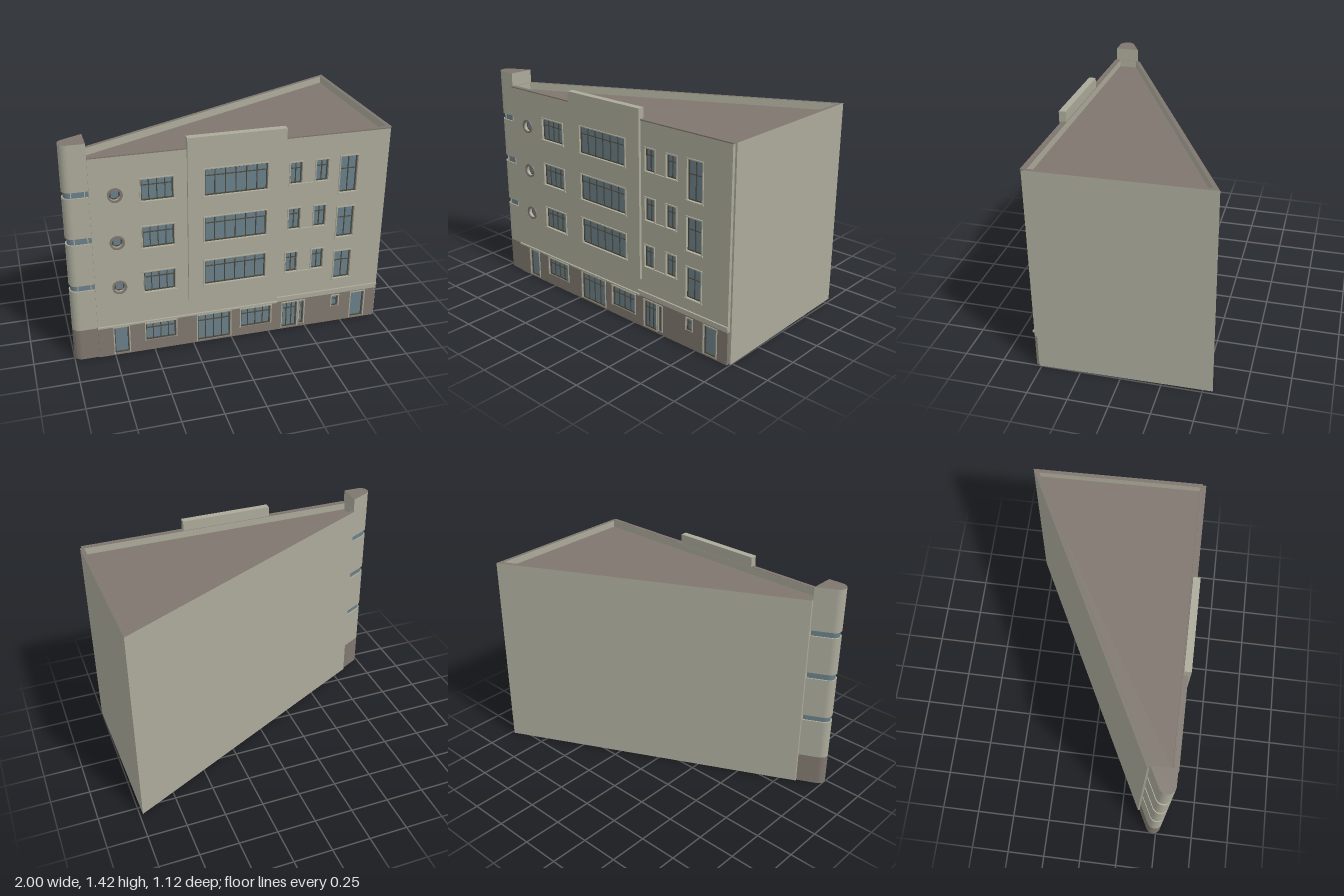
import * as THREE from 'three';
import { mergeGeometries } from 'three/addons/utils/BufferGeometryUtils.js';

const mat = (name, color, side = THREE.FrontSide) => {
  const m = new THREE.MeshStandardMaterial({ color, side });
  m.name = name;
  return m;
};

export function createModel() {
  const root = new THREE.Group();
  root.name = 'cornerBuilding';
  const render = mat('beigeRender', 0xabaa9a);
  const stone = mat('brownStone', 0x7f776e);
  const glass = mat('blueGlass', 0x6a7f88);
  const dark = mat('darkFrame', 0x4b4b41);

  const add = (name, geo, m, parent = root) => {
    const mesh = new THREE.Mesh(geo, m);
    mesh.name = name;
    parent.add(mesh);
    return mesh;
  };
  // box given by its limits
  const box = (x0, x1, y0, y1, z0, z1) =>
    new THREE.BoxGeometry(x1 - x0, y1 - y0, z1 - z0)
      .translate((x0 + x1) / 2, (y0 + y1) / 2, (z0 + z1) / 2);
  // plan outline [x, z] raised from y0 to y1
  const toShape = pts => new THREE.Shape(pts.map(([x, z]) => new THREE.Vector2(x, -z)));
  const raise = (shape, y0, y1) =>
    new THREE.ExtrudeGeometry(shape, { depth: y1 - y0, bevelEnabled: false })
      .rotateX(-Math.PI / 2).translate(0, y0, 0);
  const rectPath = (P, x0, x1, y0, y1) => {
    const p = new P();
    p.moveTo(x0, y0); p.lineTo(x1, y0); p.lineTo(x1, y1); p.lineTo(x0, y1);
    p.closePath();
    return p;
  };
  // upright wall slab with window openings
  const wall = (name, x0, x1, y0, y1, z0, z1, wins, m) => {
    const s = rectPath(THREE.Shape, x0, x1, y0, y1);
    for (const w of wins) {
      if (w.r) s.holes.push(new THREE.Path().absarc(w.x, w.y, w.r, 0, Math.PI * 2, true));
      else s.holes.push(rectPath(THREE.Path, ...w.rect));
    }
    const g = new THREE.ExtrudeGeometry(s, { depth: z1 - z0, bevelEnabled: false, curveSegments: 24 });
    add(name, g.translate(0, 0, z0), m);
  };

  // glass, bars, surround and sill of one rectangular window; back and face are z
  const addWindow = ({ rect, cols, transom, sill }, back, face) => {
    const [x0, x1, y0, y1] = rect;
    const g = new THREE.Group();
    g.name = 'window';
    root.add(g);
    add('pane', box(x0, x1, y0, y1, back, back + 0.004), glass, g);
    const b = 0.0035, f = back + 0.011;
    const bars = [
      box(x0, x0 + 2 * b, y0, y1, back, f), box(x1 - 2 * b, x1, y0, y1, back, f),
      box(x0, x1, y0, y0 + 2 * b, back, f), box(x0, x1, y1 - 2 * b, y1, back, f)
    ];
    for (let i = 1; i < cols; i++) {
      const x = x0 + (x1 - x0) * i / cols;
      bars.push(box(x - b * 0.7, x + b * 0.7, y0, y1, back, f));
    }
    if (transom) {
      const y = y1 - (y1 - y0) * transom;
      bars.push(box(x0, x1, y - b * 0.7, y + b * 0.7, back, f));
    }
    add('frameBars', mergeGeometries(bars), dark, g);
    const t = 0.007, o = face + 0.007;
    add('surround', mergeGeometries([
      box(x0 - t, x0, y0, y1 + t, face, o), box(x1, x1 + t, y0, y1 + t, face, o),
      box(x0, x1, y1, y1 + t, face, o)
    ]), render, g);
    if (sill) add('sill', box(x0 - 0.012, x1 + 0.012, y0 - 0.008, y0, face, face + 0.01), render, g);
  };

  // window schedule for the three upper floors
  const upper = [], bay = [], portholes = [];
  const rows = [
    { side: [1.035, 1.174], mid: [1.03, 1.2], stair: [0.94, 1.18], round: 1.093 },
    { side: [0.728, 0.869], mid: [0.725, 0.89], stair: [0.63, 0.837], round: 0.787 },
    { side: [0.425, 0.564], mid: [0.43, 0.596], stair: [0.33, 0.527], round: 0.485 }
  ];
  rows.forEach((r, i) => {
    const dx = i === 2 ? -0.007 : 0;
    upper.push({ rect: [-0.553, -0.361, ...r.side], cols: 4, transom: 0.3, sill: true });
    upper.push({ rect: [0.355 + dx, 0.43 + dx, ...r.side], cols: 2, transom: 0.3 });
    upper.push({ rect: [0.52, 0.597, ...r.side], cols: 2, transom: 0.3 });
    upper.push({ rect: [0.677, 0.788, ...r.stair], cols: 2, transom: 0.36, sill: true });
    bay.push({ rect: [-0.18, 0.207, ...r.mid], cols: 6, transom: 0.26, sill: true });
    portholes.push({ x: -0.703, y: r.round, r: 0.034 });
    add('pairedSill', box(0.343, 0.607, r.side[0] - 0.008, r.side[0], 0.535, 0.545), render);
  });
  // ground floor doors and shop windows
  const ground = [
    { rect: [-0.75, -0.66, 0.01, 0.198], cols: 1, transom: 0 },
    { rect: [-0.553, -0.361, 0.072, 0.195], cols: 4, transom: 0.3 },
    { rect: [-0.222, -0.008, 0.01, 0.198], cols: 4, transom: 0.25 },
    { rect: [0.061, 0.26, 0.06, 0.195], cols: 4, transom: 0.3 },
    { rect: [0.34, 0.44, 0.01, 0.195], cols: 3, transom: 0.25 },
    { rect: [0.457, 0.487, 0.02, 0.195], cols: 1, transom: 0.25 },
    { rect: [0.68, 0.725, 0.115, 0.195], cols: 1, transom: 0.35 },
    { rect: [0.815, 0.907, 0.01, 0.198], cols: 1, transom: 0 }
  ];

  // wedge-shaped body with roof deck and parapet
  const plan = [[-0.85, 0.515], [1.0, 0.515], [0.98, -0.56], [-0.85, 0.36]];
  add('body', raise(toShape(plan), 0, 1.29), [stone, render]);
  const rim = toShape(plan);
  rim.holes.push(new THREE.Path([[-0.85 + 0.005, 0.503], [0.975, 0.503], [0.957, -0.52], [-0.845, 0.385]]
    .map(([x, z]) => new THREE.Vector2(x, -z))));
  add('parapet', raise(rim, 1.29, 1.335), [stone, render]);

  // street facade: plinth, upper wall and projecting bay
  wall('plinth', -0.85, 0.988, 0, 0.21, 0.515, 0.535, ground, stone);
  wall('facade', -0.85, 0.988, 0.21, 1.33, 0.515, 0.535, [...upper, ...portholes], render);
  wall('bay', -0.28, 0.32, 0.33, 1.33, 0.535, 0.552, bay, render);
  add('bayParapet', box(-0.28, 0.32, 1.33, 1.402, 0.508, 0.552), render);
  for (const [a, b] of [[-0.85, -0.28], [0.32, 0.99]])
    add('coping', box(a, b, 1.33, 1.337, 0.51, 0.538), stone);
  add('leftLedge', box(-0.85, 0.3, 0.21, 0.22, 0.535, 0.546), render);
  add('rightLedge', box(0.292, 0.988, 0.238, 0.249, 0.535, 0.546), render);
  upper.forEach(w => addWindow(w, 0.515, 0.535));
  ground.forEach(w => addWindow(w, 0.515, 0.533));
  bay.forEach(w => addWindow(w, 0.535, 0.552));

  // round windows with a ring and a square pane
  for (const p of portholes) {
    const g = new THREE.Group();
    g.name = 'roundWindow';
    root.add(g);
    add('recess', new THREE.CircleGeometry(0.035, 24).translate(p.x, p.y, 0.517), dark, g);
    add('pane', box(p.x - 0.021, p.x + 0.021, p.y - 0.021, p.y + 0.021, 0.517, 0.523), glass, g);
    const ring = new THREE.Shape().absarc(p.x, p.y, 0.045, 0, Math.PI * 2, false);
    ring.holes.push(new THREE.Path().absarc(p.x, p.y, 0.033, 0, Math.PI * 2, true));
    add('ring', new THREE.ExtrudeGeometry(ring, { depth: 0.009, bevelEnabled: false, curveSegments: 24 })
      .translate(0, 0, 0.534), stone, g);
  }

  // rounded corner tower, stacked walls and recessed glass bands
  const towerPlan = inset => {
    const r = 0.05 - inset, pts = [[-0.85, 0.478 + r]];
    const end = Math.PI / 2 + Math.acos(-0.893);
    for (let i = 0; i <= 14; i++) {
      const a = Math.PI / 2 + (end - Math.PI / 2) * i / 14;
      pts.push([-0.95 + r * Math.cos(a), 0.478 + r * Math.sin(a)]);
    }
    const [x, z] = pts[pts.length - 1];
    pts.push([-0.85, z - (-0.85 - x) * 0.503]);
    return toShape(pts);
  };
  const outer = towerPlan(0), inner = towerPlan(0.009);
  add('towerPlinth', raise(outer, 0, 0.21), stone);
  const bands = [[0.484, 0.522], [0.796, 0.837], [1.094, 1.132]];
  let base = 0.21;
  for (const [y0, y1] of bands) {
    add('towerWall', raise(outer, base, y0), render);
    add('towerGlass', raise(inner, y0, y1), glass);
    for (const x of [-0.95, -0.872])
      add('towerMullion', box(x - 0.003, x + 0.003, y0, y1, 0.51, 0.525), render);
    base = y1;
  }
  add('towerTop', raise(outer, base, 1.413), render);
  add('towerCap', raise(outer, 1.413, 1.42), [stone, render]);
  return root;
}
